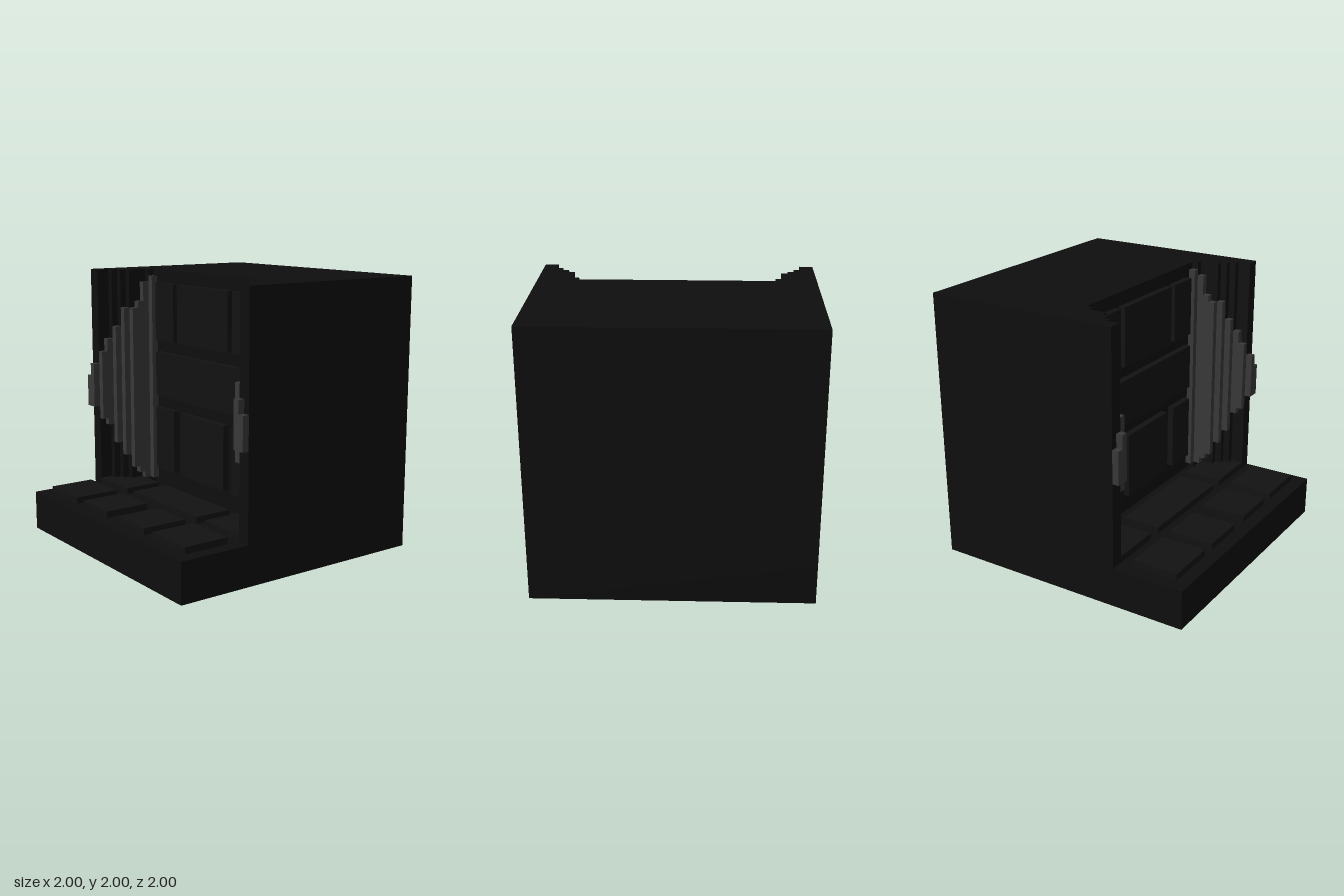
import * as THREE from 'three';

const N = 41;            // cells along each side
const U = 2 / N;         // size of one cell

const darkStone = new THREE.MeshStandardMaterial({ color: 0x0e0e0e });
const slabStone = new THREE.MeshStandardMaterial({ color: 0x121212 });
const greyStone = new THREE.MeshStandardMaterial({ color: 0x383838 });

// Box between two cell corners: x and z count from -1, y from the ground
function cellBox(name, material, x0, x1, y0, y1, z0, z1) {
  const geo = new THREE.BoxGeometry((x1 - x0) * U, (y1 - y0) * U, (z1 - z0) * U);
  const mesh = new THREE.Mesh(geo, material);
  mesh.position.set((x0 + x1) / 2 * U - 1, (y0 + y1) / 2 * U, (z0 + z1) / 2 * U - 1);
  mesh.name = name;
  return mesh;
}

// Block with a stepped alcove, extruded upwards from its plan
function alcoveWall() {
  // [first column, depth of the front face] from the outer edge inwards
  const steps = [[0, 30], [2, 28], [3, 27], [4, 26], [5, 23], [6, 22]];
  const left = [];
  steps.forEach(([col, depth], i) => {
    if (i) left.push([col, steps[i - 1][1]]);
    left.push([col, depth]);
  });
  const right = left.map(([col, depth]) => [N - col, depth]).reverse();
  const plan = [[0, 0], ...left, ...right, [N, 0]];
  const shape = new THREE.Shape(plan.map(([x, z]) => new THREE.Vector2(x * U - 1, 1 - z * U)));
  const geo = new THREE.ExtrudeGeometry(shape, { depth: (N - 6) * U, bevelEnabled: false });
  geo.rotateX(-Math.PI / 2);
  const mesh = new THREE.Mesh(geo, darkStone);
  mesh.position.y = 6 * U;
  mesh.name = 'alcoveWall';
  return mesh;
}

export function createModel() {
  const model = new THREE.Group();
  model.name = 'alcove';
  model.add(cellBox('base', darkStone, 0, N, 0, 6, 0, N), alcoveWall());

  // Raised bricks on the back wall: [x0, x1, y0, y1]
  const bricks = new THREE.Group();
  bricks.name = 'wallBricks';
  [
    [8, 13, 30, 39], [14, 27, 30, 39], [28, 33, 30, 39],
    [8, 33, 21, 28],
    [8, 13, 9, 19], [15, 26, 9, 19], [28, 33, 9, 19],
  ].forEach(([x0, x1, y0, y1]) => bricks.add(cellBox('wallBrick', slabStone, x0, x1, y0, y1, 22, 23)));
  model.add(bricks);

  // Floor tiles in two rows: [x0, x1, z0, z1]
  const tiles = new THREE.Group();
  tiles.name = 'floorTiles';
  [
    [2, 10, 24, 30], [12, 29, 24, 30], [31, 39, 24, 30],
    [2, 10, 32, 39], [12, 19, 32, 39], [22, 29, 32, 39], [31, 39, 32, 39],
  ].forEach(([x0, x1, z0, z1]) => tiles.add(cellBox('floorTile', slabStone, x0, x1, 6, 7, z0, z1)));
  model.add(tiles);

  // Grey strips on the alcove sides, growing taller inwards: [column, z, y0, y1]
  const strips = [
    [0, 30, 19, 24], [1, 30, 19, 26], [2, 29, 17, 28], [2, 28, 16, 30], [3, 27, 13, 32],
    [4, 26, 11, 35], [5, 25, 9, 35], [5, 24, 8, 36], [5, 23, 7, 39], [6, 22, 7, 40],
  ];
  for (const side of ['right', 'left']) {
    const group = new THREE.Group();
    group.name = side + 'SideStrips';
    for (const [col, z, y0, y1] of strips) {
      const x = side === 'right' ? col : N - 1 - col;
      group.add(cellBox('sideStrip', greyStone, x, x + 1, y0, y1, z, z + 1));
    }
    model.add(group);
  }
  return model;
}
